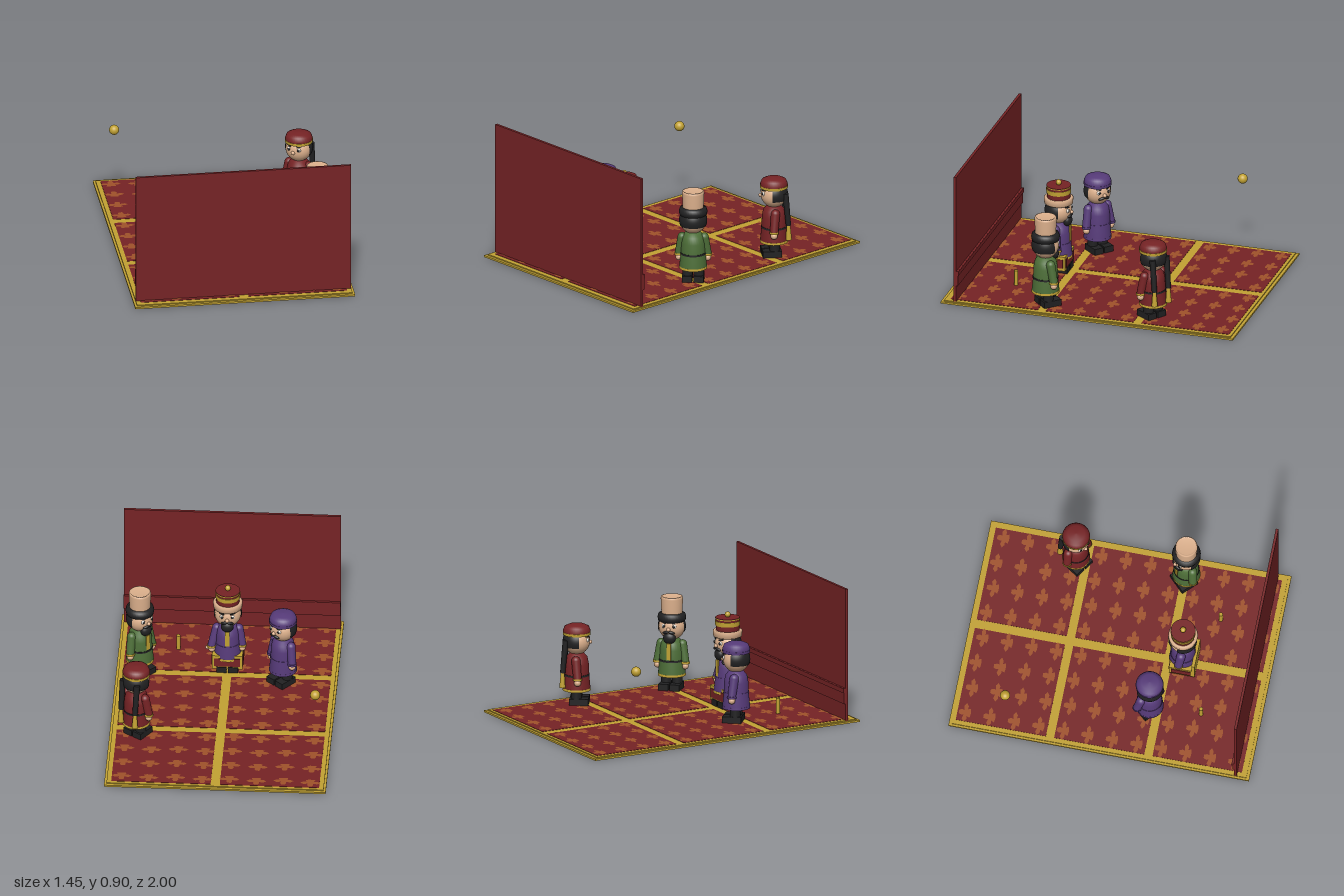
import * as THREE from 'three';
import { mergeGeometries } from 'three/addons/utils/BufferGeometryUtils.js';

const mat = (name, color) => Object.assign(new THREE.MeshStandardMaterial({ color }), { name });
const M = {
  red: mat('deep red', 0x762325), gold: mat('gold', 0xc2a233), orange: mat('rust orange', 0xa0522a),
  green: mat('green', 0x4d6e38), purple: mat('purple', 0x573b7a), black: mat('black', 0x212122),
  skin: mat('skin', 0xdcb08c), white: mat('white', 0xe8e4dc),
};

function add(parent, name, geo, material, x = 0, y = 0, z = 0) {
  const m = new THREE.Mesh(geo, material);
  m.name = name;
  m.position.set(x, y, z);
  parent.add(m);
  return m;
}
const box = (w, h, d) => new THREE.BoxGeometry(w, h, d);
const ball = (r) => new THREE.SphereGeometry(r, 24, 16);
const cyl = (rt, rb, h) => new THREE.CylinderGeometry(rt, rb, h, 32);
const lathe = (pts) => new THREE.LatheGeometry(pts.map(p => new THREE.Vector2(...p)), 32);

// Tapered limb between two points
function limb(parent, name, a, b, ra, rb, material) {
  const p = new THREE.Vector3(...a), q = new THREE.Vector3(...b);
  const m = add(parent, name, cyl(rb, ra, p.distanceTo(q)), material);
  m.position.copy(p).lerp(q, 0.5);
  m.quaternion.setFromUnitVectors(new THREE.Vector3(0, 1, 0), q.sub(p).normalize());
  return m;
}

// Gold base, carpet, six red panels and rows of floral motifs
function buildFloor(root) {
  const g = new THREE.Group();
  g.name = 'carpet';
  root.add(g);
  add(g, 'floorSlab', box(1.45, 0.012, 2), M.gold, 0, 0.006, 0);
  add(g, 'carpetBorder', box(1.42, 0.008, 1.96), M.gold, 0, 0.015, 0);
  for (const x of [-0.355, 0.355])
    for (const [z0, z1] of [[-0.96, -0.36], [-0.305, 0.295], [0.35, 0.945]])
      add(g, 'carpetPanel', box(0.65, 0.003, z1 - z0), M.red, x, 0.0195, (z0 + z1) / 2);

  const half = [[0.012, 0.045], [0.02, 0.026], [0.016, 0.012], [0.045, 0.018], [0.066, 0.002],
    [0.045, -0.012], [0.024, -0.01], [0.032, -0.03], [0.012, -0.034]];
  const outline = [...half, ...half.map(([x, y]) => [-x, y]).reverse()];
  const flower = new THREE.ShapeGeometry(new THREE.Shape(outline.map(p => new THREE.Vector2(...p))));
  flower.rotateX(-Math.PI / 2);
  const flowers = [];
  for (let r = 0; r < 12; r++)
    for (let c = 0; c < 8; c++)
      flowers.push(flower.clone().translate(-0.619 + c * 0.1765, 0.0222, -0.905 + r * 0.163 + (c % 2) * 0.012));
  add(g, 'carpetMotifs', mergeGeometries(flowers), M.orange);
}

// Tall wall with a dado band on its inner side
function buildWall(root) {
  add(root, 'wall', box(1.42, 0.89, 0.018), M.red, 0, 0.46, 0.907);
  add(root, 'wallBand', box(1.42, 0.105, 0.012), M.red, 0, 0.183, 0.893);
  add(root, 'wallBandRail', box(1.42, 0.03, 0.006), M.red, 0, 0.22, 0.885);
}

// One figure facing +z, with options for colour, trim and facial hair
function buildFigure(root, name, x, z, turn, o) {
  const g = new THREE.Group();
  g.name = name;
  g.position.set(x, 0, z);
  g.rotation.y = turn;
  root.add(g);

  // Coat
  add(g, 'coat', lathe([[0, 0.112], [0.088, 0.112], [0.09, 0.13], [0.083, 0.2], [0.081, 0.23],
    [0.079, 0.29], [0.07, 0.335], [0.045, 0.365], [0, 0.372]]), o.coat);
  add(g, 'hem', cyl(0.0905, 0.092, 0.016), o.trim, 0, 0.121, 0);
  add(g, 'belt', cyl(0.084, 0.085, 0.012), o.belt, 0, 0.218, 0);
  if (o.strip) add(g, 'chestStrip', box(0.028, 0.11, 0.008), M.gold, 0, 0.285, 0.078);

  // Legs, boots, arms
  for (const s of [-1, 1]) {
    add(g, 'leg', cyl(0.034, 0.034, 0.08), M.black, s * 0.037, 0.08, 0);
    add(g, 'boot', box(0.066, 0.042, 0.125), M.black, s * 0.038, 0.043, 0.018);
    const out = o.reach && s < 0;
    const shoulder = [s * 0.072, 0.325, 0], wrist = out ? [-0.105, 0.195, 0.02] : [s * 0.094, 0.205, 0.012];
    add(g, 'shoulder', ball(0.03), o.coat, ...shoulder);
    limb(g, 'sleeve', shoulder, wrist, 0.03, 0.027, o.coat);
    add(g, 'cuff', cyl(0.029, 0.03, 0.014), o.trim, wrist[0], wrist[1], wrist[2]);
    add(g, 'hand', ball(0.023), M.skin, wrist[0], wrist[1] - 0.024, wrist[2]);
    if (out) limb(g, 'finger', [-0.11, 0.175, 0.02], [-0.145, 0.18, 0.022], 0.012, 0.01, M.skin);
  }

  // Head, hair and face
  add(g, 'head', ball(0.087), M.skin, 0, 0.44, 0);
  add(g, 'hair', new THREE.SphereGeometry(0.092, 28, 18, Math.PI * 0.92, Math.PI * 1.16, 0, Math.PI * 0.62),
    M.black, 0, 0.443, 0).material.side = THREE.DoubleSide;
  add(g, 'nose', ball(0.013), M.skin, 0, 0.437, 0.088);
  for (const s of [-1, 1]) {
    add(g, 'eyeWhite', ball(0.015), M.white, s * 0.034, 0.456, 0.071).scale.z = 0.7;
    add(g, 'pupil', ball(0.009), M.black, s * 0.034, 0.456, 0.08).scale.z = 0.6;
    const brow = add(g, 'eyebrow', box(0.034, 0.009, 0.009), M.black, s * 0.036, 0.481, 0.071);
    brow.rotation.set(0, s * 0.45, s * 0.2);
    if (o.moustache) {
      const m = add(g, 'moustache', ball(0.02), M.black, s * 0.019, 0.416, 0.083);
      m.scale.set(1.15, 0.5, 0.5);
      m.rotation.set(0, s * 0.3, -s * 0.25);
    }
  }
  if (o.beard) add(g, 'beard', ball(0.042), M.black, 0, 0.375, 0.062).scale.set(1, 0.95, 0.7);
  return g;
}

// Low round cap with a band
function addCap(g, colour, band) {
  add(g, 'cap', lathe([[0.088, 0.488], [0.09, 0.515], [0.08, 0.54], [0.055, 0.552], [0, 0.556]]), colour);
  add(g, 'capBand', cyl(0.0915, 0.091, 0.018), band, 0, 0.497, 0);
}

export function createModel() {
  const root = new THREE.Group();
  root.name = 'stageScene';
  buildFloor(root);
  buildWall(root);

  // Woman in red with long braids
  const woman = buildFigure(root, 'redFigure', 0.55, -0.4, -0.6,
    { coat: M.red, trim: M.gold, belt: M.black });
  addCap(woman, M.red, M.gold);
  for (const s of [-1, 1]) {
    limb(woman, 'braid', [s * 0.058, 0.46, -0.068], [s * 0.058, 0.24, -0.088], 0.02, 0.017, M.black);
    limb(woman, 'braidTie', [s * 0.058, 0.24, -0.088], [s * 0.058, 0.14, -0.09], 0.012, 0.02, M.gold);
  }

  // Man in green with a tall hat
  const tall = buildFigure(root, 'greenFigure', 0.57, 0.33, -2.36,
    { coat: M.green, trim: M.gold, belt: M.black, strip: true, moustache: true, beard: true });
  add(tall, 'furBand', lathe([[0.075, 0.475], [0.09, 0.485], [0.094, 0.505], [0.088, 0.527], [0.07, 0.535]]), M.black);
  add(tall, 'tallHat', lathe([[0.068, 0.52], [0.073, 0.63], [0.07, 0.643], [0.062, 0.645],
    [0.058, 0.638], [0, 0.638]]), M.skin);

  // Man in purple with a cap
  const guest = buildFigure(root, 'purpleFigure', -0.37, 0.27, 2.43,
    { coat: M.purple, trim: M.purple, belt: M.purple, moustache: true });
  addCap(guest, M.purple, M.purple);

  // Ruler on a gold seat
  const ruler = buildFigure(root, 'rulerFigure', 0, 0.42, Math.PI,
    { coat: M.purple, trim: M.gold, belt: M.purple, strip: true, moustache: true, beard: true, reach: true });
  add(ruler, 'hatRim', lathe([[0.08, 0.488], [0.094, 0.495], [0.097, 0.53], [0.088, 0.538], [0.075, 0.535]]), M.skin);
  add(ruler, 'hatCrown', cyl(0.08, 0.076, 0.09), M.red, 0, 0.575, 0);
  add(ruler, 'hatBand', cyl(0.082, 0.081, 0.03), M.gold, 0, 0.583, 0);
  add(ruler, 'hatTopTrim', cyl(0.081, 0.081, 0.006), M.gold, 0, 0.614, 0);
  add(ruler, 'hatKnob', ball(0.019), M.gold, 0, 0.637, 0);
  add(ruler, 'seat', box(0.2, 0.1, 0.16), M.gold, 0, 0.1, -0.005);
  add(ruler, 'seatFront', box(0.17, 0.06, 0.006), M.red, 0, 0.1, 0.076);
  for (const s of [-1, 1]) add(ruler, 'seatSide', box(0.006, 0.06, 0.13), M.red, s * 0.101, 0.1, -0.005);
  add(ruler, 'seatBack', box(0.2, 0.185, 0.022), M.gold, 0, 0.143, -0.085);

  // Gold posts and floating ball
  for (const s of [-1, 1]) add(root, 'post', cyl(0.013, 0.013, 0.105), M.gold, s * 0.335, 0.073, 0.605);
  add(root, 'floatingBall', ball(0.033), M.gold, -0.635, 0.535, -0.64);
  return root;
}
